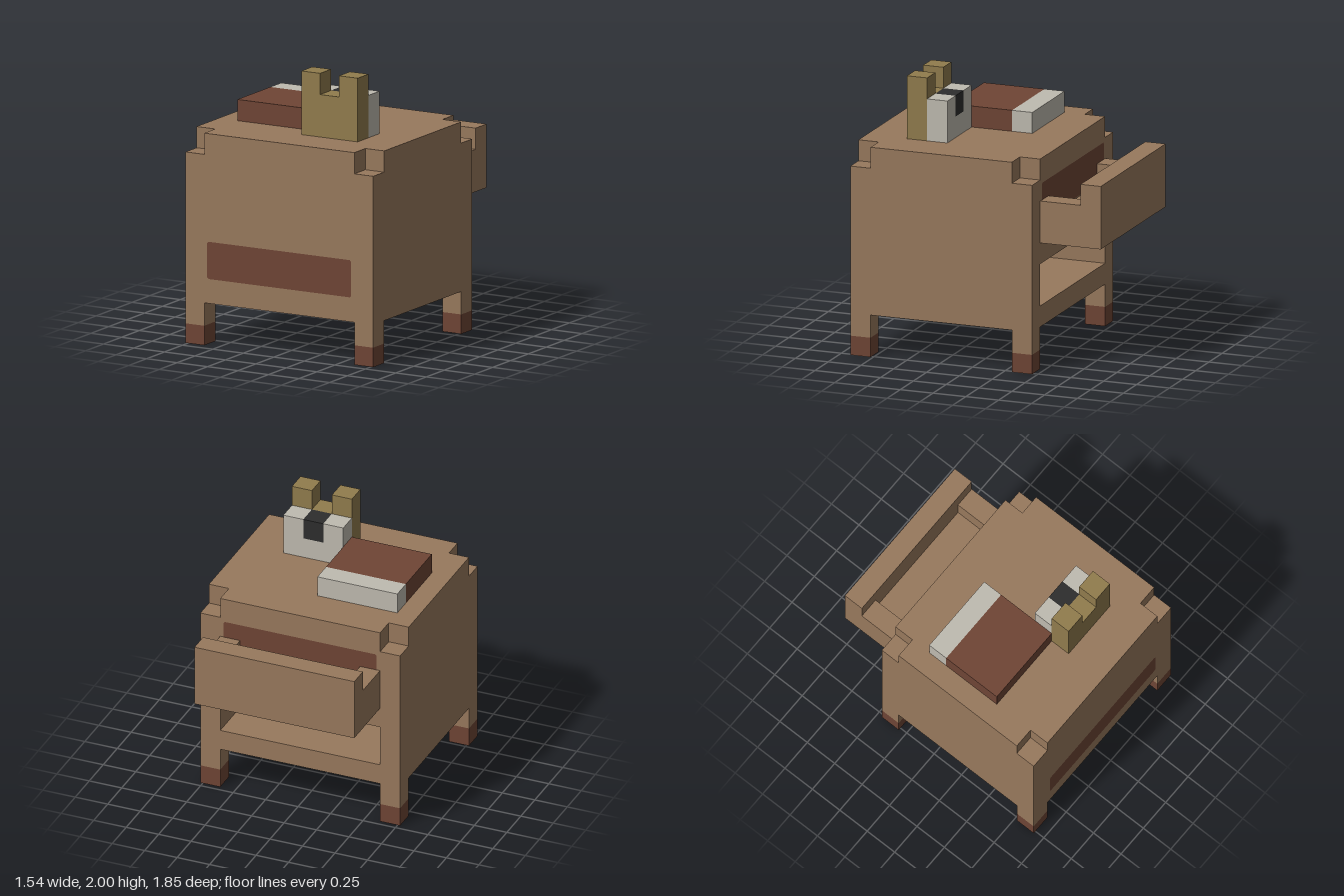
import * as THREE from 'three';

const U = 2 / 13; // one block

function mat(name, color) {
  const m = new THREE.MeshStandardMaterial({ color });
  m.name = name;
  return m;
}

export function createModel() {
  const wood = mat('wood', 0x98795d);
  const redBrown = mat('redBrown', 0x6f4535);
  const olive = mat('olive', 0x917c4d);
  const paper = mat('paper', 0xbfbbb0);
  const black = mat('black', 0x2d2d2d);

  const root = new THREE.Group();
  root.name = 'nightstand';
  const group = (name) => {
    const g = new THREE.Group();
    g.name = name;
    root.add(g);
    return g;
  };
  // Box given by its min and max corners, in blocks
  const box = (parent, name, material, x0, x1, y0, y1, z0, z1) => {
    const g = new THREE.BoxGeometry((x1 - x0) * U, (y1 - y0) * U, (z1 - z0) * U);
    const m = new THREE.Mesh(g, material);
    m.position.set((x0 + x1) / 2 * U, (y0 + y1) / 2 * U, (z0 + z1) / 2 * U);
    m.name = name;
    parent.add(m);
  };

  // Cabinet with an open shelf at the back
  const cabinet = group('cabinet');
  box(cabinet, 'bottomPanel', wood, -5, 5, 2, 3, -3, 6);
  box(cabinet, 'rightWall', wood, -5, -4, 3, 5, -3, 6);
  box(cabinet, 'leftWall', wood, 4, 5, 3, 5, -3, 6);
  box(cabinet, 'frontWall', wood, -4, 4, 3, 5, 5, 6);
  box(cabinet, 'upperBody', wood, -5, 5, 5, 9, -3, 6);

  // Top slab with notched corners
  const corners = [[-5, -2], [-4, -2], [-4, -3], [4, -3], [4, -2], [5, -2],
    [5, 5], [4, 5], [4, 6], [-4, 6], [-4, 5], [-5, 5]];
  const outline = new THREE.Shape(corners.map(([x, z]) => new THREE.Vector2(x * U, -z * U)));
  const slab = new THREE.ExtrudeGeometry(outline, { depth: U, bevelEnabled: false });
  slab.rotateX(-Math.PI / 2);
  const top = new THREE.Mesh(slab, wood);
  top.position.y = 9 * U;
  top.name = 'tableTop';
  cabinet.add(top);

  // Legs with dark feet
  const legs = group('legs');
  for (const x of [-5, 4]) {
    for (const z of [-3, 5]) {
      box(legs, 'foot', redBrown, x, x + 1, 0, 0.92, z, z + 1);
      box(legs, 'leg', wood, x, x + 1, 0.92, 2, z, z + 1);
    }
  }

  // Painted strips with slightly rounded corners, front and back
  const stripShape = (w, h, r) => {
    const s = new THREE.Shape();
    const x = w / 2, y = h / 2;
    s.moveTo(-x + r, -y).lineTo(x - r, -y).lineTo(x, -y + r).lineTo(x, y - r);
    s.lineTo(x - r, y).lineTo(-x + r, y).lineTo(-x, y - r).lineTo(-x, -y + r);
    return s;
  };
  const strip = (name, y, z, turn) => {
    const g = new THREE.ShapeGeometry(stripShape(1.18, 0.27, 0.012));
    const m = new THREE.Mesh(g, redBrown);
    m.position.set(0, y, z);
    m.rotation.y = turn;
    m.name = name;
    root.add(m);
  };
  strip('frontStrip', 0.62, 6 * U + 0.002, 0);
  strip('backStrip', 8 * U - 0.01, -3 * U - 0.002, Math.PI);

  // Pulled-out drawer
  const drawer = group('drawer');
  box(drawer, 'drawerFloor', wood, -3, 3, 6, 7, -5, -3);
  box(drawer, 'drawerSide', wood, -4, -3, 6, 8, -5, -3);
  box(drawer, 'drawerSide', wood, 3, 4, 6, 8, -5, -3);
  box(drawer, 'drawerPanel', wood, -4, 4, 6, 9, -6, -5);

  // Book
  const book = group('book');
  box(book, 'bookCover', redBrown, -4, 0, 10, 11, 0, 3);
  box(book, 'bookPages', paper, -4, 0, 10, 11, -1, 0);

  // Clock: two-pronged case in front, pale face behind with a black mark
  const clock = group('clock');
  box(clock, 'clockCase', olive, 0, 3, 10, 12, 3, 4);
  box(clock, 'clockProng', olive, 0, 1, 12, 13, 3, 4);
  box(clock, 'clockProng', olive, 2, 3, 12, 13, 3, 4);
  box(clock, 'clockFace', paper, 0, 3, 10, 11, 2, 3);
  box(clock, 'clockFaceSide', paper, 0, 1, 11, 12, 2, 3);
  box(clock, 'clockFaceSide', paper, 2, 3, 11, 12, 2, 3);
  box(clock, 'clockMark', black, 1, 2, 11, 12, 2, 3);

  return root;
}
